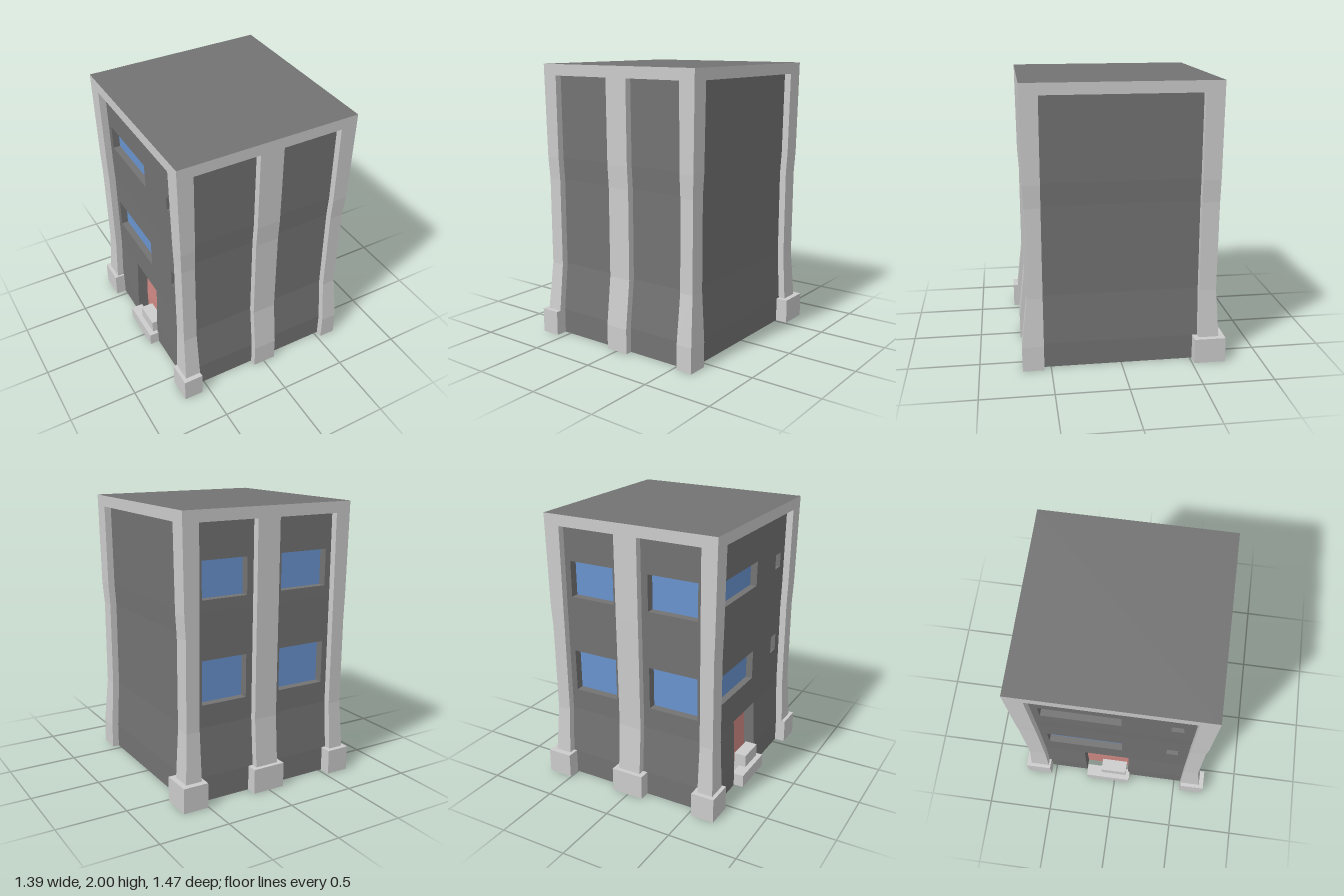
import * as THREE from 'three';

const mat = (name, color) =>
  new THREE.MeshStandardMaterial({ name, color, side: THREE.DoubleSide });

// Outline of each side by height: [y, left x, right x, back z, front z]
const PROFILE = [
  [0, -0.67, 0.65, -0.695, 0.7],
  [0.18, -0.67, 0.65, -0.695, 0.7],
  [0.53, -0.655, 0.63, -0.67, 0.66],
  [1.17, -0.655, 0.63, -0.675, 0.66],
  [1.33, -0.66, 0.64, -0.677, 0.67],
  [2, -0.67, 0.65, -0.68, 0.675],
];
function edge(column, y) {
  const i = Math.max(1, PROFILE.findIndex((row) => row[0] >= y));
  const a = PROFILE[i - 1], b = PROFILE[i];
  return THREE.MathUtils.lerp(a[column], b[column], (y - a[0]) / (b[0] - a[0]));
}

const PANEL_TOP = 1.92;
const PANEL_DEPTH = 0.05;

export function createModel() {
  const group = new THREE.Group();
  const concrete = mat('lightConcrete', 0xcccccc);
  const wall = mat('greyWall', 0x737373);
  const glass = mat('blueGlass', 0x6a94d0);
  const red = mat('redDoor', 0xcf8884);

  // A facade is a sheet of cells at different depths, joined by reveals.
  // panels: [u0, u1]; openings: [u0, u1, y0, y1, material, depth]
  function facade(name, axis, sign, panels, openings = []) {
    const unique = (list) => [...new Set(list)].sort((a, b) => a - b);
    const us = unique([-1, 1, ...panels.flat(), ...openings.flatMap((o) => [o[0], o[1]])]);
    const ys = unique([...PROFILE.map((r) => r[0]), PANEL_TOP, ...openings.flatMap((o) => [o[2], o[3]])]);
    const flip = (axis === 'z') !== (sign > 0);

    const point = (u, y, d) => {
      const x0 = edge(1, y), x1 = edge(2, y), z0 = edge(3, y), z1 = edge(4, y);
      if (axis === 'z') {
        return [THREE.MathUtils.clamp(u, x0, x1), y, sign > 0 ? z1 - d : z0 + d];
      }
      return [sign > 0 ? x1 - d : x0 + d, y, THREE.MathUtils.clamp(u, z0, z1)];
    };
    const cell = (i, j) => {
      const u = (us[i] + us[i + 1]) / 2, y = (ys[j] + ys[j + 1]) / 2;
      const hole = openings.find((o) => u > o[0] && u < o[1] && y > o[2] && y < o[3]);
      if (hole) return { d: PANEL_DEPTH + hole[5], m: hole[4] };
      const inPanel = y < PANEL_TOP && panels.some((p) => u > p[0] && u < p[1]);
      return inPanel ? { d: PANEL_DEPTH, m: wall } : { d: 0, m: concrete };
    };

    const faces = new Map();
    const quad = (m, a, b, c, d) => {
      if (!faces.has(m)) faces.set(m, []);
      const order = flip ? [a, c, b, a, d, c] : [a, b, c, a, c, d];
      faces.get(m).push(...order.flat());
    };
    for (let i = 0; i < us.length - 1; i++) {
      for (let j = 0; j < ys.length - 1; j++) {
        const a = cell(i, j), u0 = us[i], u1 = us[i + 1], y0 = ys[j], y1 = ys[j + 1];
        quad(a.m, point(u0, y0, a.d), point(u1, y0, a.d), point(u1, y1, a.d), point(u0, y1, a.d));
        if (i < us.length - 2) {
          const b = cell(i + 1, j);
          if (a.d !== b.d) {
            quad(a.d < b.d ? a.m : b.m,
              point(u1, y0, a.d), point(u1, y0, b.d), point(u1, y1, b.d), point(u1, y1, a.d));
          }
        }
        if (j < ys.length - 2) {
          const b = cell(i, j + 1);
          if (a.d !== b.d) {
            quad(a.d < b.d ? a.m : b.m,
              point(u1, y1, a.d), point(u1, y1, b.d), point(u0, y1, b.d), point(u0, y1, a.d));
          }
        }
      }
    }

    const side = new THREE.Group();
    side.name = name;
    const partNames = new Map([[concrete, 'Pillars'], [wall, 'Wall'], [glass, 'Windows'], [red, 'Door']]);
    for (const [m, positions] of faces) {
      const geometry = new THREE.BufferGeometry();
      geometry.setAttribute('position', new THREE.Float32BufferAttribute(positions, 3));
      geometry.computeVertexNormals();
      const mesh = new THREE.Mesh(geometry, m);
      mesh.name = name + partNames.get(m);
      side.add(mesh);
    }
    group.add(side);
  }

  // Four sides
  const pair = [[-0.555, -0.085], [0.09, 0.53]];
  const single = [[-0.55, 0.55]];
  const backWindows = [[-0.51, -0.135], [0.138, 0.485]].flatMap(([a, b]) => [
    [a, b, 1.41, 1.67, glass, 0.06],
    [a, b, 0.69, 1.0, glass, 0.06],
  ]);
  const sideOpenings = [
    [-0.5, 0.058, 1.47, 1.65, glass, 0.05],
    [-0.5, 0.058, 0.755, 0.97, glass, 0.05],
    [0.39, 0.478, 1.5, 1.61, glass, 0.04],
    [0.39, 0.478, 0.83, 0.96, glass, 0.04],
    [-0.24, 0.107, 0, 0.53, red, 0.08],
  ];
  facade('front', 'z', 1, pair);
  facade('back', 'z', -1, pair, backWindows);
  facade('plainSide', 'x', 1, single);
  facade('doorSide', 'x', -1, single, sideOpenings);

  // Roof
  const roof = new THREE.Mesh(new THREE.PlaneGeometry(1.32, 1.355).rotateX(-Math.PI / 2), wall);
  roof.position.set(-0.01, 2, -0.0025);
  roof.name = 'roof';
  group.add(roof);

  // Pillar bases and door steps
  function block(name, x0, x1, y1, z0, z1) {
    const mesh = new THREE.Mesh(new THREE.BoxGeometry(x1 - x0, y1, z1 - z0), concrete);
    mesh.position.set((x0 + x1) / 2, y1 / 2, (z0 + z1) / 2);
    mesh.name = name;
    group.add(mesh);
  }
  block('backCornerBaseDoorSide', -0.697, -0.525, 0.18, -0.73, -0.535);
  block('backMiddleBase', -0.12, 0.125, 0.18, -0.727, -0.62);
  block('backCornerBasePlainSide', 0.505, 0.69, 0.18, -0.738, -0.515);
  block('frontCornerBase', -0.697, -0.555, 0.18, 0.55, 0.735);
  block('lowerStep', -0.69, -0.6, 0.095, -0.23, 0.12);
  block('upperStep', -0.652, -0.56, 0.19, -0.11, 0.09);

  return group;
}
